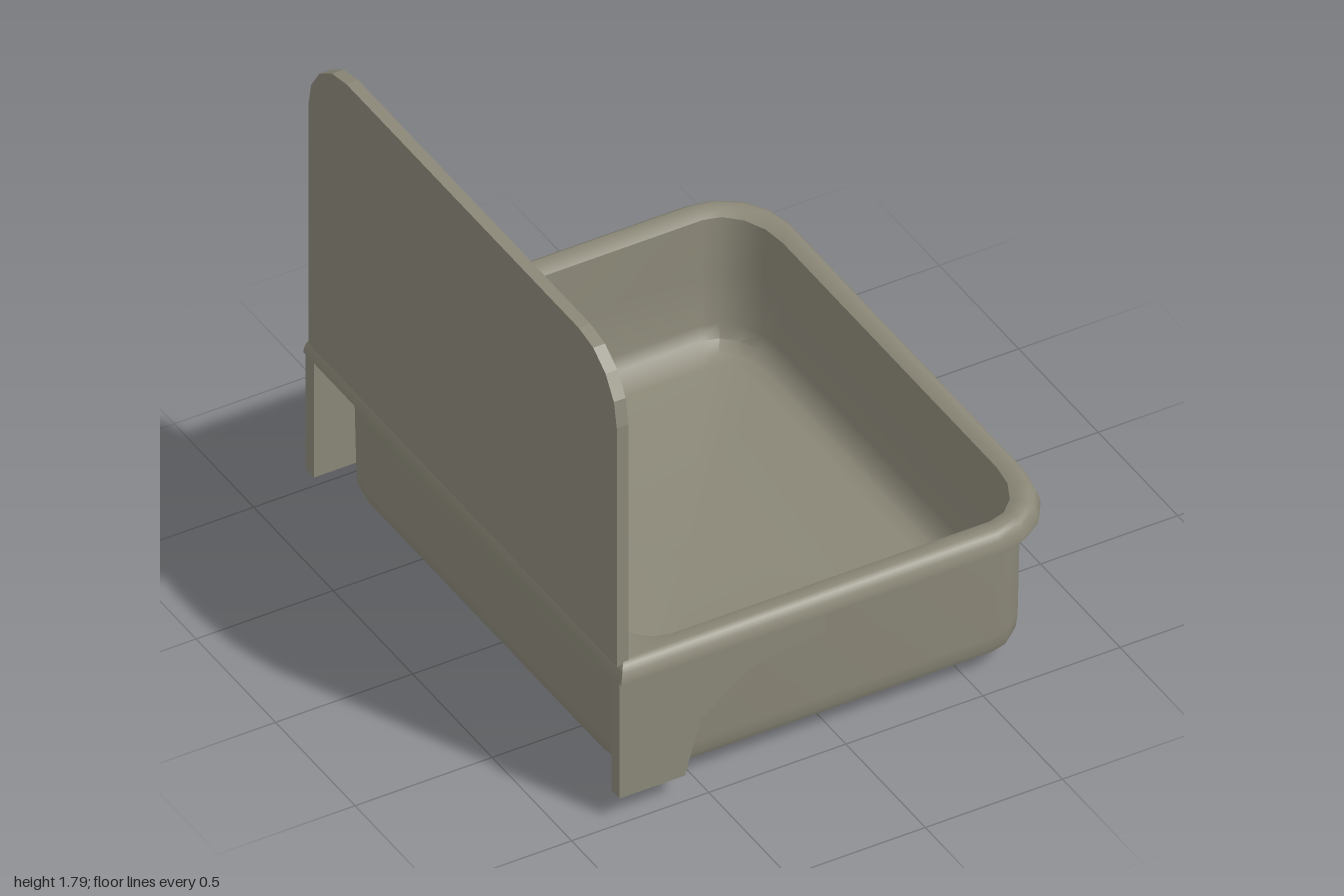
import * as THREE from 'three';
import { toCreasedNormals } from 'three/addons/utils/BufferGeometryUtils.js';

const CORNER = 4; // segments per rounded corner

// Rounded rectangle ring; the radii of the +x and -x corners differ.
function ring({ x, z, y, front, back = front }) {
  const pts = [];
  [[1, 1, front], [-1, 1, back], [-1, -1, back], [1, -1, front]].forEach(([sx, sz, [rx, rz]], q) => {
    for (let i = 0; i <= CORNER; i++) {
      const a = (q + i / CORNER) * Math.PI / 2;
      pts.push([sx * (x - rx) + rx * Math.cos(a), y, sz * (z - rz) + rz * Math.sin(a)]);
    }
  });
  return pts;
}

// Skin through a list of rings, with creased normals.
function loft(sections) {
  const rings = sections.map(ring);
  const n = rings[0].length;
  const index = [];
  for (let j = 0; j < rings.length - 1; j++) {
    for (let i = 0; i < n; i++) {
      const a = j * n + i, b = j * n + (i + 1) % n;
      index.push(a, a + n, b, b, a + n, b + n);
    }
  }
  const g = new THREE.BufferGeometry();
  g.setAttribute('position', new THREE.Float32BufferAttribute(rings.flat(2), 3));
  g.setIndex(index);
  return toCreasedNormals(g, 0.75);
}

export function createModel() {
  const group = new THREE.Group();
  const enamel = new THREE.MeshStandardMaterial({ color: 0x8b8878 });
  enamel.name = 'stone grey enamel';
  const add = (name, geometry) => {
    const mesh = new THREE.Mesh(geometry, enamel);
    mesh.name = name;
    group.add(mesh);
    return mesh;
  };

  // Basin outside, then the rim with square rear corners, then the bowl inside
  const none = [0, 0], wall = [0.17, 0.2], lip = [0.25, 0.25], bowl = [0.16, 0.23];
  add('basin', loft([
    { x: 0, z: 0, y: 0.078, front: none },
    { x: 0.70, z: 0.885, y: 0.078, front: [0.13, 0.16] },
    { x: 0.73, z: 0.915, y: 0.087, front: [0.15, 0.18] },
    { x: 0.745, z: 0.928, y: 0.115, front: wall },
    { x: 0.75, z: 0.931, y: 0.16, front: wall },
    { x: 0.755, z: 0.938, y: 0.545, front: wall },
    { x: 0.818, z: 1, y: 0.545, front: lip, back: none },
    { x: 0.818, z: 1, y: 0.558, front: lip, back: none },
    { x: 0.812, z: 0.994, y: 0.585, front: lip, back: none },
    { x: 0.803, z: 0.982, y: 0.606, front: [0.24, 0.24], back: none },
    { x: 0.79, z: 0.965, y: 0.615, front: [0.22, 0.24], back: none },
    { x: 0.765, z: 0.93, y: 0.612, front: [0.18, 0.23] },
    { x: 0.74, z: 0.903, y: 0.598, front: bowl },
    { x: 0.73, z: 0.892, y: 0.4, front: bowl },
    { x: 0.72, z: 0.882, y: 0.2, front: bowl },
    { x: 0.705, z: 0.867, y: 0.15, front: [0.15, 0.21] },
    { x: 0.67, z: 0.83, y: 0.122, front: [0.13, 0.18] },
    { x: 0.62, z: 0.78, y: 0.112, front: [0.1, 0.14] },
    { x: 0, z: 0, y: 0.108, front: none },
  ]));

  // Drain boss under the basin
  const drain = [[0, 0], [0.18, 0], [0.21, 0.02], [0.234, 0.047], [0.245, 0.085]]
    .map(([r, y]) => new THREE.Vector2(r, y));
  add('drainBoss', toCreasedNormals(new THREE.LatheGeometry(drain, 16), 0.75)).position.x = 0.125;

  // Backsplash with rounded top corners
  const s = new THREE.Shape();
  s.moveTo(-0.97, 0.6);
  s.lineTo(0.97, 0.6);
  s.absarc(0.73, 1.55, 0.24, 0, Math.PI / 2);
  s.absarc(-0.73, 1.55, 0.24, Math.PI / 2, Math.PI);
  s.closePath();
  const splash = new THREE.ExtrudeGeometry(s, { depth: 0.043, bevelEnabled: false, curveSegments: 2 });
  splash.rotateY(-Math.PI / 2).translate(-0.775, 0, 0);
  add('backsplash', splash);

  // Wall brackets, their lower edge tapering towards the outer face
  const outline = [[-0.818, 0.09], [-0.558, 0.09], [-0.5, 0.272], [-0.315, 0.407],
    [-0.065, 0.45], [-0.065, 0.55], [-0.818, 0.55]].map(([x, y]) => new THREE.Vector2(x, y));
  for (const side of [1, -1]) {
    const g = new THREE.ExtrudeGeometry(new THREE.Shape(outline), { depth: 0.052, bevelEnabled: false });
    g.translate(0, 0, side > 0 ? 0.936 : -0.988);
    const p = g.attributes.position;
    for (let i = 0; i < p.count; i++) {
      const x = p.getX(i), y = p.getY(i);
      if (Math.abs(p.getZ(i)) < 0.96 || x < -0.6 || y > 0.5) continue;
      if (x < -0.1) p.setX(i, x - 0.022);
      if (y > 0.1) p.setY(i, y + 0.02);
    }
    g.computeVertexNormals();
    add(side > 0 ? 'leftBracket' : 'rightBracket', g);
  }

  return group;
}
